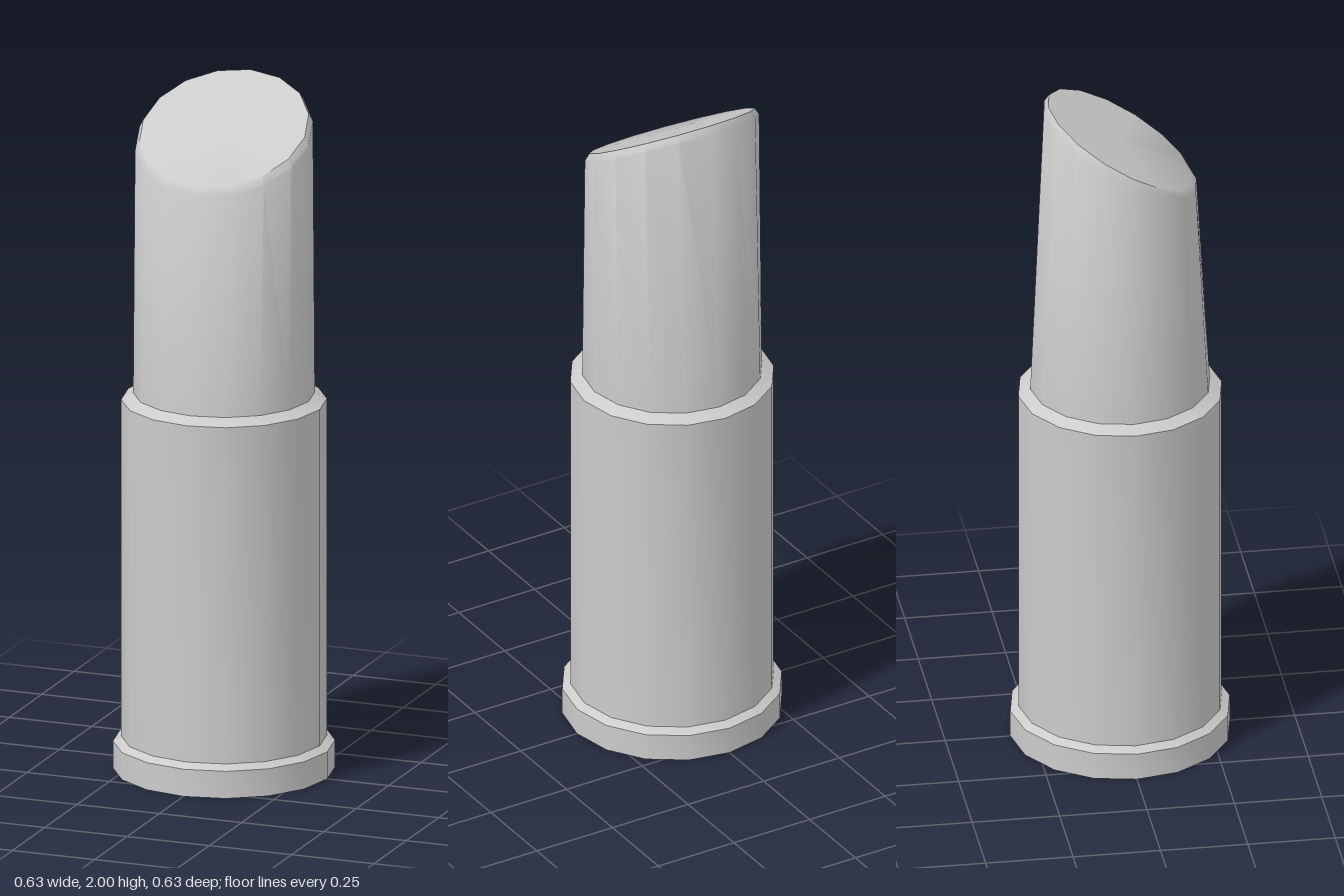
import * as THREE from 'three';
import { toCreasedNormals } from 'three/addons/utils/BufferGeometryUtils.js';

const SIDES = 16;
const material = new THREE.MeshStandardMaterial({ color: 0xcccccc });

// Sixteen-sided turned profile, given as [radius, height] pairs from bottom to top
const turned = (points) =>
  new THREE.LatheGeometry(points.map(([r, y]) => new THREE.Vector2(r, y)), SIDES);

function addPart(group, name, geometry) {
  const mesh = new THREE.Mesh(toCreasedNormals(geometry, 0.7), material);
  mesh.name = name;
  group.add(mesh);
}

export function createModel() {
  const group = new THREE.Group();
  group.name = 'lipstick';

  // Wide foot with a chamfered upper edge
  addPart(group, 'baseRim', turned([[0, 0], [0.314, 0], [0.314, 0.08], [0.291, 0.095]]));

  // Tube with a chamfered mouth
  addPart(group, 'tube', turned([[0.291, 0.095], [0.291, 1.085], [0.257, 1.105]]));

  // Stick: rings narrow in z towards the top and tilt to form the slanted tip
  const rings = [
    { r: 0.257, y: 1.1, depth: 1, slope: 0 },
    { r: 0.257, y: 1.86, depth: 0.85, slope: 0.55 },
    { r: 0.245, y: 1.882, depth: 0.835, slope: 0.577 },
    { r: 0, y: 1.882, depth: 1, slope: 0 },
  ];
  const stick = turned(rings.map(({ r, y }) => [r, y]));
  const pos = stick.attributes.position;
  for (let i = 0; i < pos.count; i++) {
    const { y, depth, slope } = rings[i % rings.length];
    const z = pos.getZ(i) * depth;
    pos.setZ(i, z);
    pos.setY(i, y - slope * z);
  }
  addPart(group, 'stick', stick);

  return group;
}
